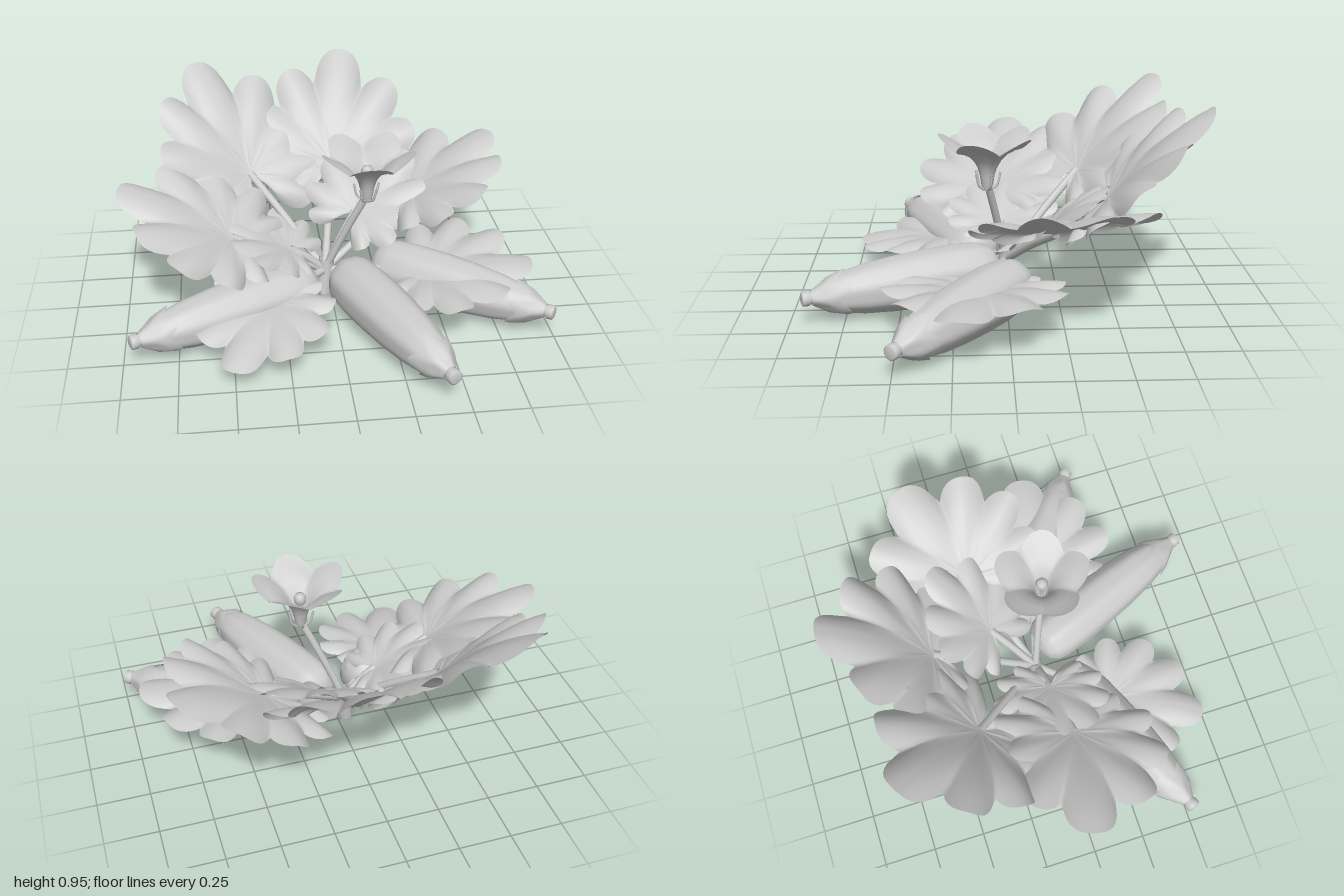
import * as THREE from 'three';
import { mergeVertices } from 'three/addons/utils/BufferGeometryUtils.js';

const V = (a) => new THREE.Vector3(...a);
const UP = new THREE.Vector3(0, 1, 0);

export function createModel() {
  const model = new THREE.Group();
  const plain = new THREE.MeshStandardMaterial({ color: 0xcccccc, side: THREE.DoubleSide });
  plain.name = 'plainGrey';

  const add = (parent, name, geometry) => {
    const mesh = new THREE.Mesh(geometry, plain);
    mesh.name = name;
    parent.add(mesh);
    return mesh;
  };

  // Turned shape whose points may be moved by a rule of angle and row
  const turned = (profile, segments, rule) => {
    const pts = profile.map(([r, y]) => new THREE.Vector2(r, y));
    let g = new THREE.LatheGeometry(pts, segments);
    const p = g.attributes.position;
    if (rule) for (let i = 0; i < p.count; i++) {
      const row = i % pts.length;
      const a = (Math.floor(i / pts.length) / segments) * Math.PI * 2;
      const [r, y] = rule(a, pts[row].x, pts[row].y, row / (pts.length - 1));
      p.setXYZ(i, r * Math.sin(a), y, r * Math.cos(a));
    }
    g.deleteAttribute('uv');
    g.deleteAttribute('normal');
    g = mergeVertices(g, 1e-5);
    g.computeVertexNormals();
    return g;
  };

  const stalk = (name, points, radius) => {
    const curve = new THREE.CatmullRomCurve3(points.map(V));
    return add(model, name, new THREE.TubeGeometry(curve, 16, radius, 10));
  };

  // Lobed leaf: polar outline around the point where the stalk joins
  const lobes = [[0, 1], [33, 0.88], [64, 0.79], [97, 0.67], [130, 0.54]];
  const outline = (deg) => Math.max(...lobes.map(([a, len]) =>
    len * (1 - 0.27 * Math.abs((Math.abs(deg) - a) / 17) ** 2.7)), 0.15);

  const leafGeometry = (length, width) => {
    const rays = 132, rings = 9, spread = 150;
    const pos = [], index = [];
    for (let i = 0; i <= rays; i++) {
      const deg = -spread + (2 * spread * i) / rays;
      const a = THREE.MathUtils.degToRad(deg);
      const edge = outline(deg);
      const ripple = Math.cos((deg / 32.5) * Math.PI * 2);
      for (let j = 0; j <= rings; j++) {
        const s = j / rings, r = s * edge * length;
        const h = length * (0.03 * ripple * s * s + 0.1 * s * s * Math.abs(Math.sin(a)) + 0.1 * s - 0.15 * s ** 3);
        pos.push(r * Math.sin(a) * width, r * Math.cos(a), h);
        if (i < rays && j < rings) {
          const k = i * (rings + 1) + j, n = k + rings + 1;
          index.push(k, n + 1, k + 1, k, n, n + 1);
        }
      }
    }
    let g = new THREE.BufferGeometry();
    g.setAttribute('position', new THREE.Float32BufferAttribute(pos, 3));
    g.setIndex(index);
    g = mergeVertices(g, 1e-5);
    g.computeVertexNormals();
    return g;
  };

  // Leaves: joint, tip, upper-side direction, width factor
  const crown = [-0.03, 0.14, 0.0];
  const leaves = [
    ['backLeaf', [0.06, 0.49, -0.49], [0.16, 0.95, -0.95], [0, 0.7, 0.7], 0.88],
    ['backRightLeaf', [-0.37, 0.5, -0.38], [-0.62, 0.96, -0.8], [0.33, 0.72, 0.61], 0.88],
    ['rightLeaf', [-0.48, 0.38, 0.05], [-1.0, 0.64, -0.03], [0.42, 0.85, 0.22], 0.98],
    ['smallRightLeaf', [-0.2, 0.28, 0.02], [-0.53, 0.43, -0.05], [0.4, 0.9, 0.1], 1.05],
    ['smallLeftLeaf', [0.14, 0.36, -0.18], [0.44, 0.59, -0.39], [-0.25, 0.82, 0.52], 0.98],
    ['leftLeaf', [0.42, 0.43, -0.21], [0.86, 0.67, -0.43], [-0.45, 0.85, 0.1], 1.1],
    ['lowLeftLeaf', [0.45, 0.18, 0.13], [0.95, 0.26, 0.23], [-0.15, 0.97, 0], 1.12],
    ['lowRightLeaf', [-0.31, 0.17, 0.3], [-0.51, 0.11, 0.74], [0, 1, 0.1], 0.92],
  ];
  for (const [name, joint, tip, facing, width] of leaves) {
    const y = V(tip).sub(V(joint));
    const length = y.length();
    y.normalize();
    const z = V(facing).addScaledVector(y, -V(facing).dot(y)).normalize();
    const x = y.clone().cross(z);
    const leaf = add(model, name, leafGeometry(length, width));
    leaf.quaternion.setFromRotationMatrix(new THREE.Matrix4().makeBasis(x, y, z));
    leaf.position.copy(V(joint));
    const mid = V(crown).lerp(V(joint), 0.55);
    mid.y += 0.01;
    stalk(name + 'Stalk', [crown, mid.toArray(), joint], 0.02);
  }

  // Short main stem
  stalk('mainStem', [[-0.04, 0.02, 0.01], [-0.03, 0.1, 0], [-0.02, 0.2, -0.01]], 0.038);

  // Fruits: softly ridged body, five-pointed collar and cut stub
  const body = turned([[0, 0], [0.045, 0.004], [0.085, 0.02], [0.115, 0.055], [0.13, 0.11], [0.136, 0.22],
    [0.134, 0.38], [0.126, 0.54], [0.111, 0.69], [0.09, 0.8], [0.055, 0.86], [0, 0.88]], 40,
  (a, r, y) => [r * (1 + 0.02 * Math.cos(a * 8)), y]);
  const collar = turned([[0.1, 0.79], [0.086, 0.84], [0.062, 0.88], [0.043, 0.915], [0.033, 0.935]], 40,
    (a, r, y, t) => {
      const point = Math.cos(a * 5) * (1 - t);
      return [r * (1 + 0.1 * point), y - 0.025 * point];
    });
  const stub = turned([[0.03, 0.91], [0.029, 0.94], [0.035, 0.95], [0.034, 0.975], [0.026, 0.98], [0, 0.98]], 16);
  const fruits = [
    ['rightFruit', [-0.09, 0.11], [-0.96, 0.52]],
    ['frontFruit', [0.06, 0.04], [0.43, 0.935]],
    ['leftFruit', [0.23, -0.06], [0.99, 0.5]],
  ];
  for (const [name, [x0, z0], [x1, z1]] of fruits) {
    const fruit = new THREE.Group();
    fruit.name = name;
    add(fruit, 'fruitBody', body);
    add(fruit, 'fruitCollar', collar);
    add(fruit, 'fruitStub', stub);
    fruit.position.set(x0, 0.142, z0);
    const dir = new THREE.Vector3(x1 - x0, -0.005, z1 - z0);
    fruit.scale.y = dir.length() / 0.98;
    fruit.quaternion.setFromUnitVectors(UP, dir.normalize());
    model.add(fruit);
  }

  // Flower: five-petalled trumpet with pistil and narrow sepals
  stalk('flowerStalk', [crown, [0.05, 0.34, 0.035], [0.155, 0.58, 0.085]], 0.018);
  const flower = new THREE.Group();
  flower.name = 'flower';
  flower.position.set(0.16, 0.56, 0.09);
  model.add(flower);
  add(flower, 'petals', turned([[0.018, 0], [0.028, 0.03], [0.034, 0.07], [0.046, 0.11], [0.07, 0.15],
    [0.105, 0.185], [0.15, 0.21], [0.195, 0.225], [0.225, 0.24]], 60,
  (a, r, y, t) => {
    const petal = Math.abs(Math.cos(a * 2.5));
    return [r * (1 - 0.24 * t * t * (1 - petal)), y + t * t * (0.065 * petal - 0.035)];
  }));
  add(flower, 'pistil', turned([[0.01, 0.03], [0.012, 0.12], [0.026, 0.14], [0.03, 0.16], [0.022, 0.18], [0, 0.188]], 16));
  for (let i = 0; i < 5; i++) {
    const a = ((i + 0.5) / 5) * Math.PI * 2;
    const at = (r, y) => new THREE.Vector3(r * Math.sin(a), y, r * Math.cos(a));
    const curve = new THREE.CatmullRomCurve3([at(0.015, 0.005), at(0.045, 0.025), at(0.062, 0.085)]);
    add(flower, 'sepal', new THREE.TubeGeometry(curve, 8, 0.006, 6));
  }
  return model;
}
